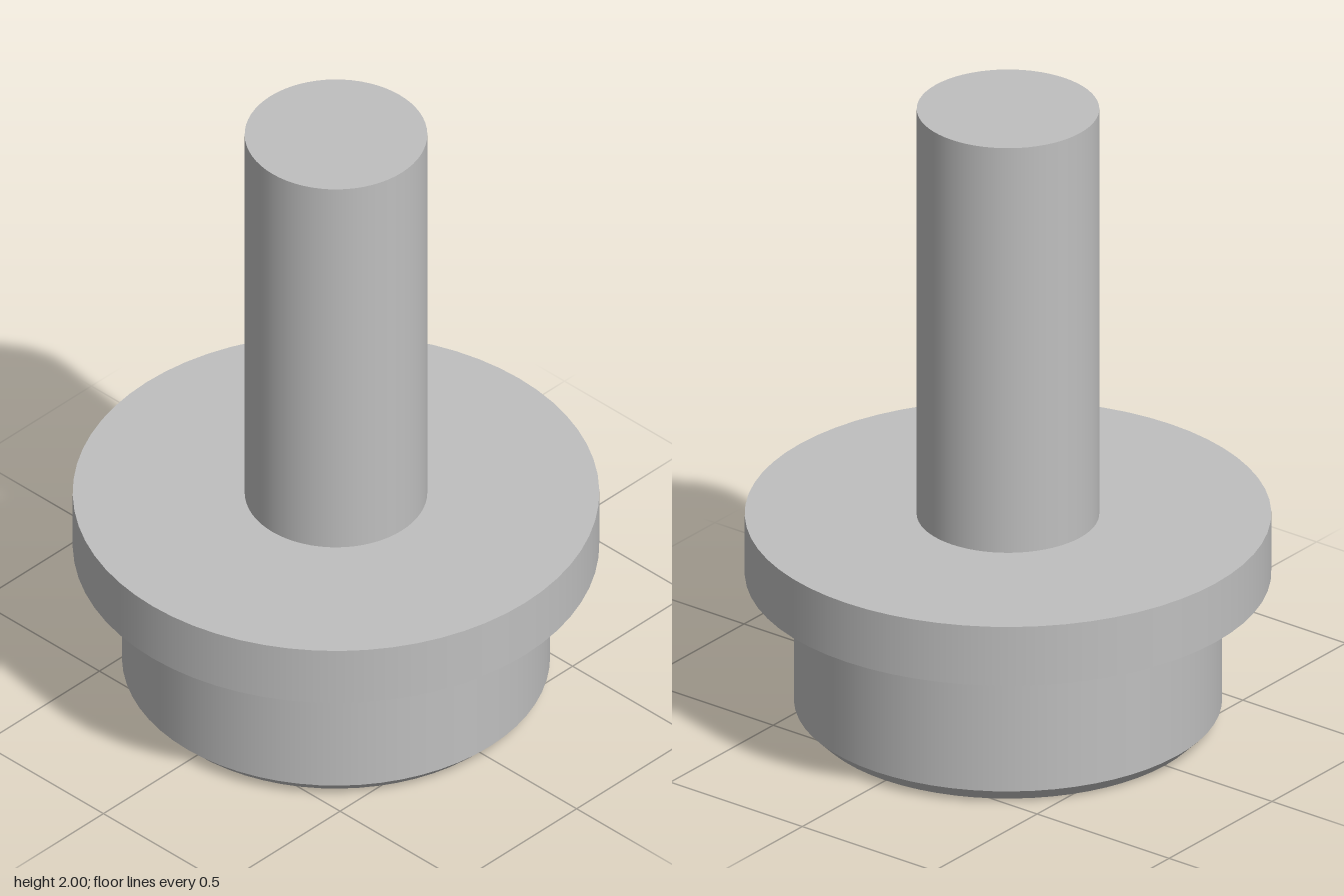
import * as THREE from 'three';

const SEGMENTS = 64;

export function createModel() {
  const group = new THREE.Group();
  const grey = new THREE.MeshStandardMaterial({ color: 0xbfbfbf });
  grey.name = 'plain grey';

  const add = (name, geometry, y = 0, z = 0) => {
    const mesh = new THREE.Mesh(geometry, grey);
    mesh.name = name;
    mesh.position.set(0, y, z);
    group.add(mesh);
  };
  // Round section between two heights
  const round = (name, rBottom, rTop, y0, y1, open = false) =>
    add(name, new THREE.CylinderGeometry(rTop, rBottom, y1 - y0, SEGMENTS, 1, open), (y0 + y1) / 2);

  round('shaft', 0.273, 0.273, 0.64, 2);
  round('flange', 0.787, 0.787, 0.465, 0.66);
  round('plug', 0.64, 0.64, 0.045, 0.465, true);
  round('plugChamfer', 0.595, 0.64, 0, 0.045, true);

  // Triangular socket, apex towards the front
  const socketRadius = 0.38, socketDepth = 0.092, socketZ = -0.1;
  const corners = [0, 1, 2].map((i) => {
    const a = (i * Math.PI * 2) / 3;
    return new THREE.Vector2(Math.sin(a) * socketRadius, Math.cos(a) * socketRadius);
  });

  // Underside with the socket opening, turned to face down
  const disc = new THREE.Shape().absarc(0, 0, 0.595, 0, Math.PI * 2);
  disc.holes.push(new THREE.Path(corners.map((c) => new THREE.Vector2(c.x, c.y + socketZ))));
  add('underside', new THREE.ShapeGeometry(disc, SEGMENTS).rotateX(Math.PI / 2));

  // Socket walls, mirrored so that they face inwards
  const walls = new THREE.CylinderGeometry(socketRadius, socketRadius, socketDepth, 3, 1, true)
    .scale(-1, 1, 1).toNonIndexed();
  walls.computeVertexNormals();
  add('socketWalls', walls, socketDepth / 2, socketZ);

  const floor = new THREE.ShapeGeometry(new THREE.Shape(corners)).rotateX(Math.PI / 2);
  add('socketFloor', floor, socketDepth, socketZ);

  return group;
}
